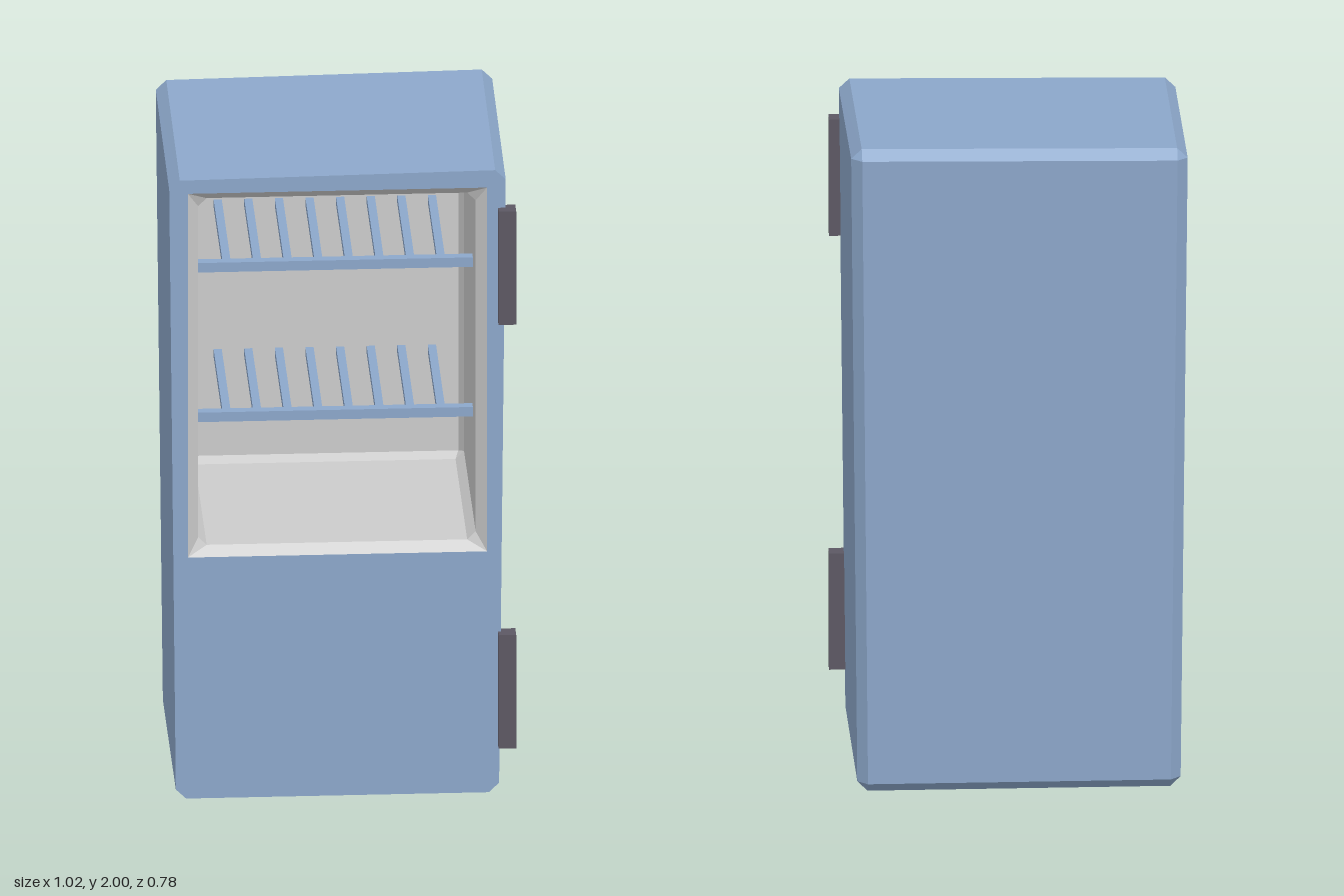
import * as THREE from 'three';

const paint = (color) => new THREE.MeshStandardMaterial({ color, flatShading: true });

// Rectangle with corners cut by c, counter-clockwise seen from +z
function ring(x0, x1, y0, y1, z, c = 0) {
  return [
    [x0 + c, y0], [x1 - c, y0], [x1, y0 + c], [x1, y1 - c],
    [x1 - c, y1], [x0 + c, y1], [x0, y1 - c], [x0, y0 + c],
  ].map(([x, y]) => new THREE.Vector3(x, y, z));
}

// Skin between rings running front to back, closed at the last ring
function loft(rings, inward = false) {
  const pos = [];
  const tri = (a, b, c) => {
    if (a.equals(b) || b.equals(c) || a.equals(c)) return;
    for (const p of inward ? [a, c, b] : [a, b, c]) pos.push(p.x, p.y, p.z);
  };
  for (let r = 0; r < rings.length - 1; r++) {
    const a = rings[r], b = rings[r + 1];
    for (let i = 0; i < a.length; i++) {
      const j = (i + 1) % a.length;
      tri(a[i], b[i], b[j]);
      tri(a[i], b[j], a[j]);
    }
  }
  const end = rings[rings.length - 1];
  for (let k = 1; k < end.length - 1; k++) tri(end[0], end[k + 1], end[k]);
  const g = new THREE.BufferGeometry();
  g.setAttribute('position', new THREE.Float32BufferAttribute(pos, 3));
  g.computeVertexNormals();
  return g;
}

// Slightly crooked cabinet: wider at the top, leaning back, sloping lid
function warp(p) {
  const { x, y, z } = p;
  return p.set(
    -0.015 + x * (1 + 0.021 * y),
    y * (0.9905 + 0.007 * x - 0.0175 * z),
    z - 0.015 * y * (0.36 - z) / 0.72
  );
}

export function createModel() {
  const group = new THREE.Group();
  const blue = paint(0x8ca7ca), grey = paint(0xcccccc), dark = paint(0x5c5863);

  const add = (name, geometry, material, parent = group) => {
    const mesh = new THREE.Mesh(geometry, material);
    mesh.name = name;
    parent.add(mesh);
    return mesh;
  };
  const box = (name, x0, x1, y0, y1, z0, z1, material, parent) =>
    add(name, new THREE.BoxGeometry(x1 - x0, y1 - y0, z1 - z0), material, parent)
      .position.set((x0 + x1) / 2, (y0 + y1) / 2, (z0 + z1) / 2);

  // Cabinet shell with chamfered edges
  const c = 0.03, w = 0.475;
  const outer = [
    ring(-w, w, 0, 2, 0.36, c),
    ring(-w, w, 0, 2, -0.33, c),
    ring(-w + c, w - c, c, 2 - c, -0.36),
  ].map((r) => r.map(warp));
  add('cabinetShell', loft(outer), blue);

  // Front panel around the opening
  const opening = ring(-0.455, 0.425, 0.765, 1.92, 0.36);
  const flat = (r) => r.map((p) => new THREE.Vector2(p.x, p.y));
  const panel = new THREE.Shape(flat(outer[0]));
  panel.holes.push(new THREE.Path(flat([0, 2, 4, 6].map((i) => opening[i]))));
  add('frontPanel', new THREE.ShapeGeometry(panel).translate(0, 0, 0.36), blue);

  // Inner compartment with bevelled rim and corners
  add('compartment', loft([
    opening,
    ring(-0.423, 0.393, 0.792, 1.893, 0.33, 0.025),
    ring(-0.423, 0.393, 0.792, 1.893, -0.29, 0.025),
    ring(-0.408, 0.378, 0.807, 1.878, -0.32),
  ], true), grey);

  // Wire shelves: front bar with rods to the back wall
  for (const y of [1.12, 1.595]) {
    const shelf = new THREE.Group();
    shelf.name = 'shelf';
    group.add(shelf);
    box('shelfBar', -0.43, 0.4, y, y + 0.03, 0.15, 0.18, blue, shelf);
    for (let i = 0; i < 8; i++) {
      const x = -0.33 + i * 0.09;
      box('shelfRod', x - 0.012, x + 0.012, y + 0.003, y + 0.027, -0.315, 0.155, blue, shelf);
    }
  }

  // Hinges on the front left edge
  for (const y of [0.15, 1.495]) box('hinge', 0.457, 0.509, y, y + 0.36, 0.338, 0.39, dark);

  return group;
}
